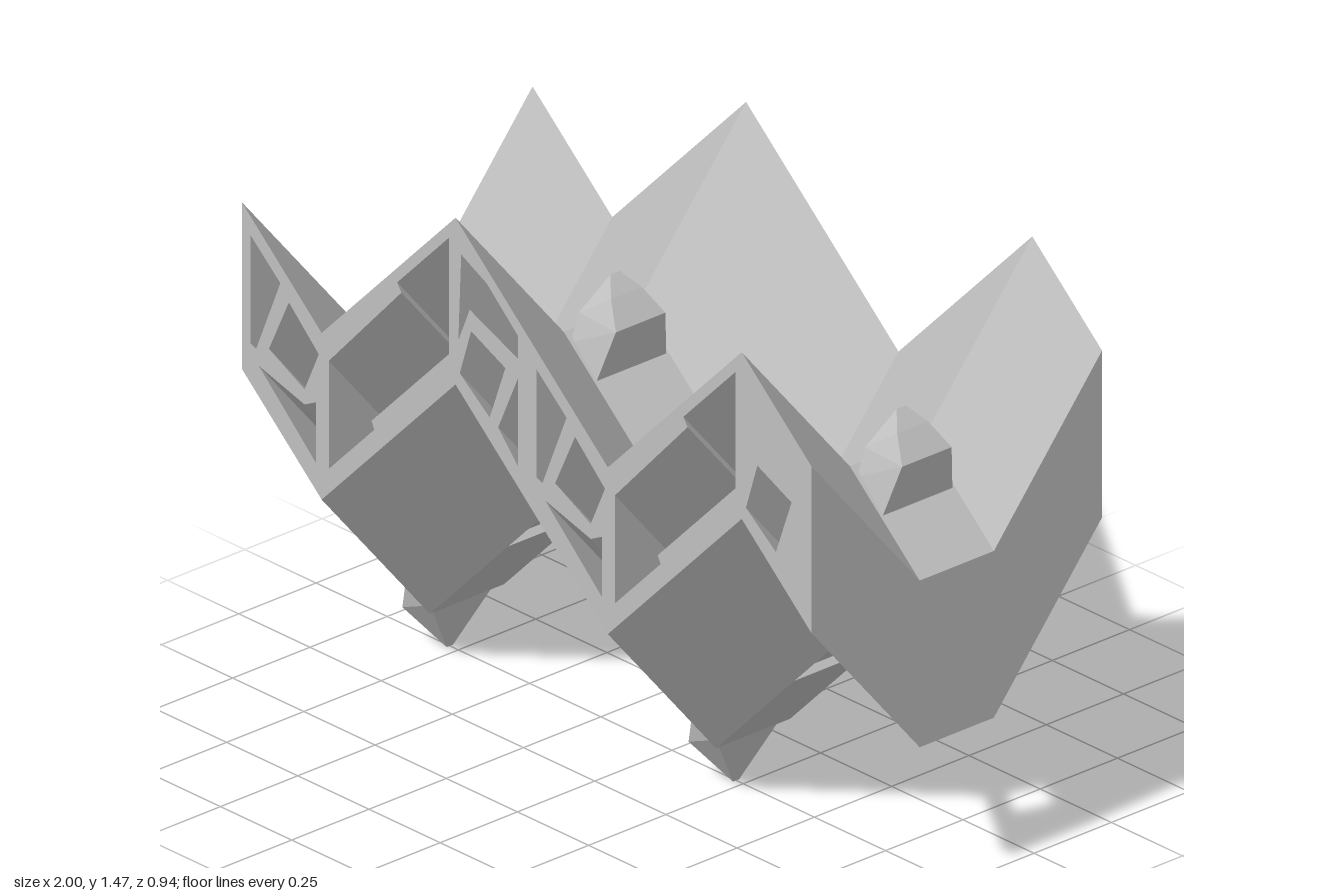
import * as THREE from 'three';
import { ConvexGeometry } from 'three/addons/geometries/ConvexGeometry.js';

const PERIOD = 1.005, HALF = 0.47, FLOOR = 0.12, DROP = 0.415;

// Copies profile points sideways by whole zigzag periods
const shift = (pts, k) => pts.map(([x, y]) => [x + k * PERIOD, y]);
const toPath = (pts, Kind) => new Kind(pts.map(([x, y]) => new THREE.Vector2(x, y)));

// Zigzag edges of the wings
const zigTop = [[-0.72, 1.0], [-0.25, 1.47]];
const zigBottom = [[-0.72, 0.56], [-0.25, 1.03]];

// Edges of the trough: stepped, with sockets cut open
const troughTop = [[-0.82, 1.088], [-0.835, 1.04], [-0.905, 0.893], [-0.78, 0.83],
  [-0.705, 0.985], [-0.53, 1.16], [-0.545, 1.175], [-0.25, 1.47]];
const troughBottom = [[-0.72, 0.56], [-0.445, 0.835], [-0.46, 0.85], [-0.262, 1.048],
  [-0.195, 1.19], [-0.075, 1.135], [-0.14, 0.933]];

// Hollow channels
const cavity = [[-0.695, 0.65], [-0.535, 0.81], [-0.545, 0.83], [-0.272, 1.103],
  [-0.272, 1.41], [-0.455, 1.227], [-0.44, 1.205], [-0.695, 0.935]];
const valleyPockets = [
  [[-0.97, 1.17], [-0.865, 1.08], [-0.95, 0.877], [-0.97, 0.885]],
  [[-0.94, 0.835], [-0.78, 0.79], [-0.74, 0.81], [-0.74, 0.65]]];
const peakPockets = [
  [[-0.23, 1.38], [-0.14, 1.335], [-0.03, 1.235], [-0.03, 1.175], [-0.2, 1.245], [-0.24, 1.15]],
  [[-0.1, 0.97], [-0.03, 1.125], [-0.03, 0.89]]];
const valleySocket = [[-0.835, 1.04], [-0.905, 0.893], [-0.78, 0.83], [-0.73, 0.94]];
const peakSocket = [[-0.195, 1.19], [-0.075, 1.135], [-0.13, 0.985], [-0.235, 1.065]];

function makeShape(top, bottom, withSockets) {
  const outline = [
    [-1, 0.806], ...shift(bottom, 0), ...shift(bottom, 1), [1, 0.815],
    [1, 1.255], ...shift(top, 1).reverse(), ...shift(top, 0).reverse(), [-1, 1.246]];
  const shape = toPath(outline, THREE.Shape);
  for (const k of [0, 1]) {
    const holes = [cavity, ...valleyPockets];
    if (k === 0) holes.push(...peakPockets); // the last half segment is solid
    if (withSockets) holes.push(valleySocket, peakSocket);
    for (const h of holes) shape.holes.push(toPath(shift(h, k), THREE.Path));
  }
  return shape;
}

// Extrudes a profile from z0 to z1, sinking it towards the middle into a V
function foldedGeometry(shape, z0, z1) {
  const geo = new THREE.ExtrudeGeometry(shape, { depth: z1 - z0, bevelEnabled: false });
  geo.translate(0, 0, z0);
  const p = geo.attributes.position;
  for (let i = 0; i < p.count; i++) {
    const t = Math.min(1, (HALF - Math.abs(p.getZ(i))) / (HALF - FLOOR));
    p.setY(i, p.getY(i) - DROP * t);
  }
  geo.computeVertexNormals();
  return geo;
}

// Tapered peg from points mirrored across z
function pegGeometry(points) {
  const pts = points.flatMap(([x, y, z]) => [new THREE.Vector3(x, y, z), new THREE.Vector3(x, y, -z)]);
  return new ConvexGeometry(pts);
}

export function createModel() {
  const group = new THREE.Group();
  group.name = 'foldedInterlockingPanel';
  const grey = new THREE.MeshStandardMaterial({ color: 0xbfbfbf });
  grey.name = 'light grey';
  const add = (name, geo, x = 0) => {
    const mesh = new THREE.Mesh(geo, grey);
    mesh.name = name;
    mesh.position.x = x;
    group.add(mesh);
  };

  // Zigzag body
  const wing = makeShape(zigTop, zigBottom, true);
  add('frontWing', foldedGeometry(wing, FLOOR, HALF));
  add('backWing', foldedGeometry(wing, -HALF, -FLOOR));
  add('trough', foldedGeometry(makeShape(troughTop, troughBottom, false), -FLOOR, FLOOR));

  // Pegs above the peaks and below the valleys
  const upper = pegGeometry([[-0.25, 1.03, 0.08], [-0.235, 1.03, 0.11], [-0.145, 0.95, 0.115],
    [-0.11, 1.09, 0.08], [-0.2, 1.19, 0.015], [-0.235, 1.1, 0.085], [-0.16, 1.15, 0.05]]);
  const lower = pegGeometry([[-0.81, 0.23, 0.11], [-0.73, 0.16, 0.11],
    [-0.86, 0.1, 0.08], [-0.83, 0.06, 0.05], [-0.78, 0, 0.01]]);
  for (const k of [0, 1]) {
    add('upperPeg', upper, k * PERIOD);
    add('lowerPeg', lower, k * PERIOD);
  }
  return group;
}
